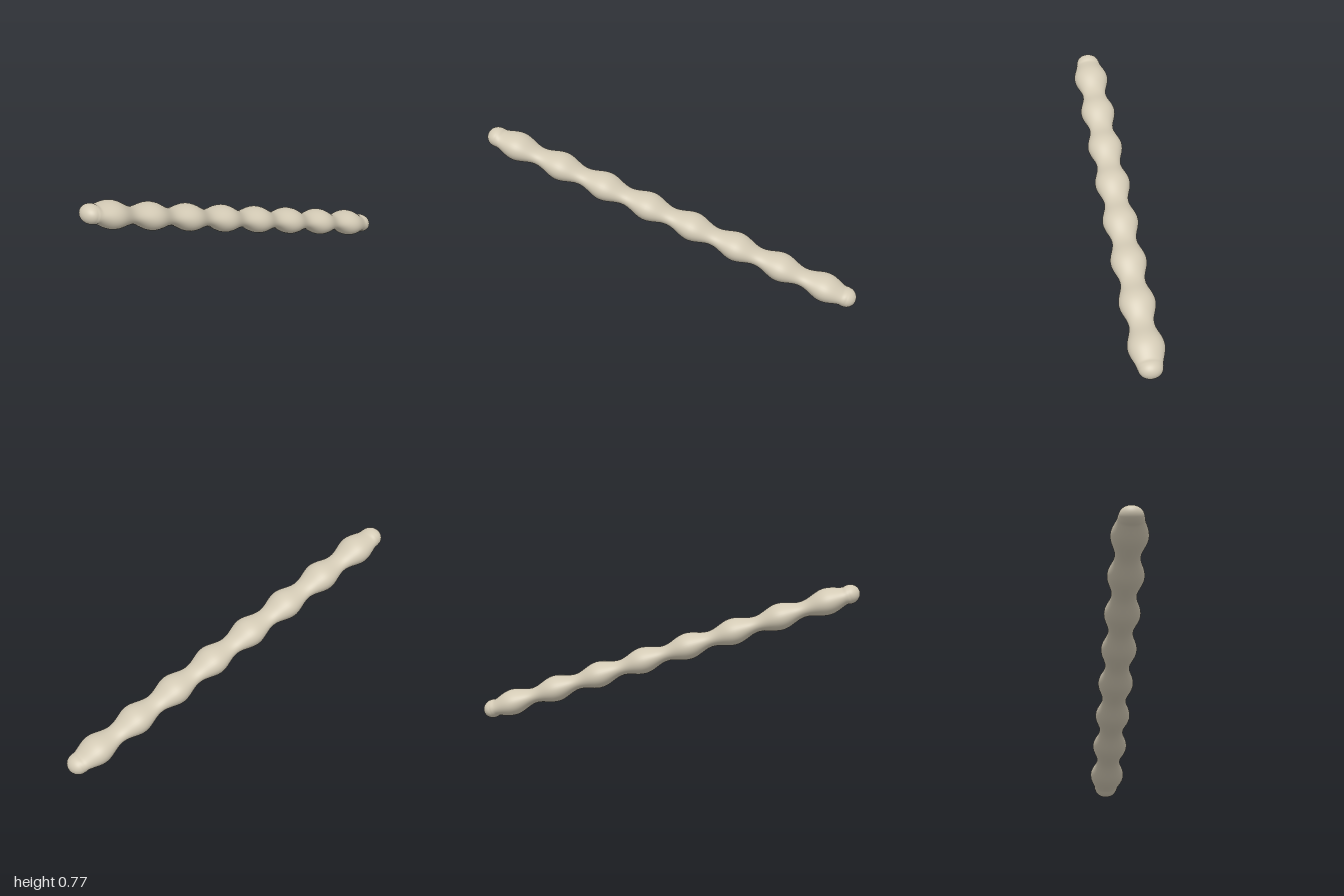
import * as THREE from 'three';
import { mergeVertices } from 'three/addons/utils/BufferGeometryUtils.js';

const HALF = 1.053;     // half length along the rod's own axis
const PITCH = 0.2515;   // distance between swellings
const CAP = 1.0;        // where the rounded tips are centred
const TILT = Math.atan(0.357);

// Half width of the rod at s: eight swellings, with rounded tips
function radius(s, bulge, neck, tip) {
  const a = Math.abs(s);
  const wave = (bulge + neck) / 2 - (bulge - neck) / 2 * Math.cos(2 * Math.PI * a / PITCH);
  const k = (a - CAP) / (HALF - CAP);
  const cap = Math.abs(k) < 1 ? tip * Math.sqrt(1 - k * k) : 0;
  return a > CAP ? cap : Math.max(wave, cap);
}

export function createModel() {
  const group = new THREE.Group();
  const bone = new THREE.MeshStandardMaterial({ color: 0xd3cab5 });
  bone.name = 'pale bone';

  // Cylinder reshaped into an oval rod, with rings gathered toward the tips
  let geometry = new THREE.CylinderGeometry(1, 1, 2, 40, 200, true);
  const p = geometry.attributes.position;
  for (let i = 0; i < p.count; i++) {
    const t = THREE.MathUtils.clamp(p.getY(i), -1, 1);
    const s = HALF * Math.sin(t * Math.PI / 2);
    p.setXYZ(i,
      p.getX(i) * radius(s, 0.069, 0.041, 0.049),
      s,
      p.getZ(i) * radius(s, 0.093, 0.064, 0.062));
  }
  geometry.deleteAttribute('normal');
  geometry.deleteAttribute('uv');
  geometry = mergeVertices(geometry, 1e-5);
  geometry.computeVertexNormals();

  // Lean the rod so its left end rests on the ground
  const rod = new THREE.Mesh(geometry, bone);
  rod.name = 'beadedRod';
  rod.rotation.z = -(Math.PI / 2 + TILT);
  rod.position.y = 0.388;
  group.add(rod);
  return group;
}
